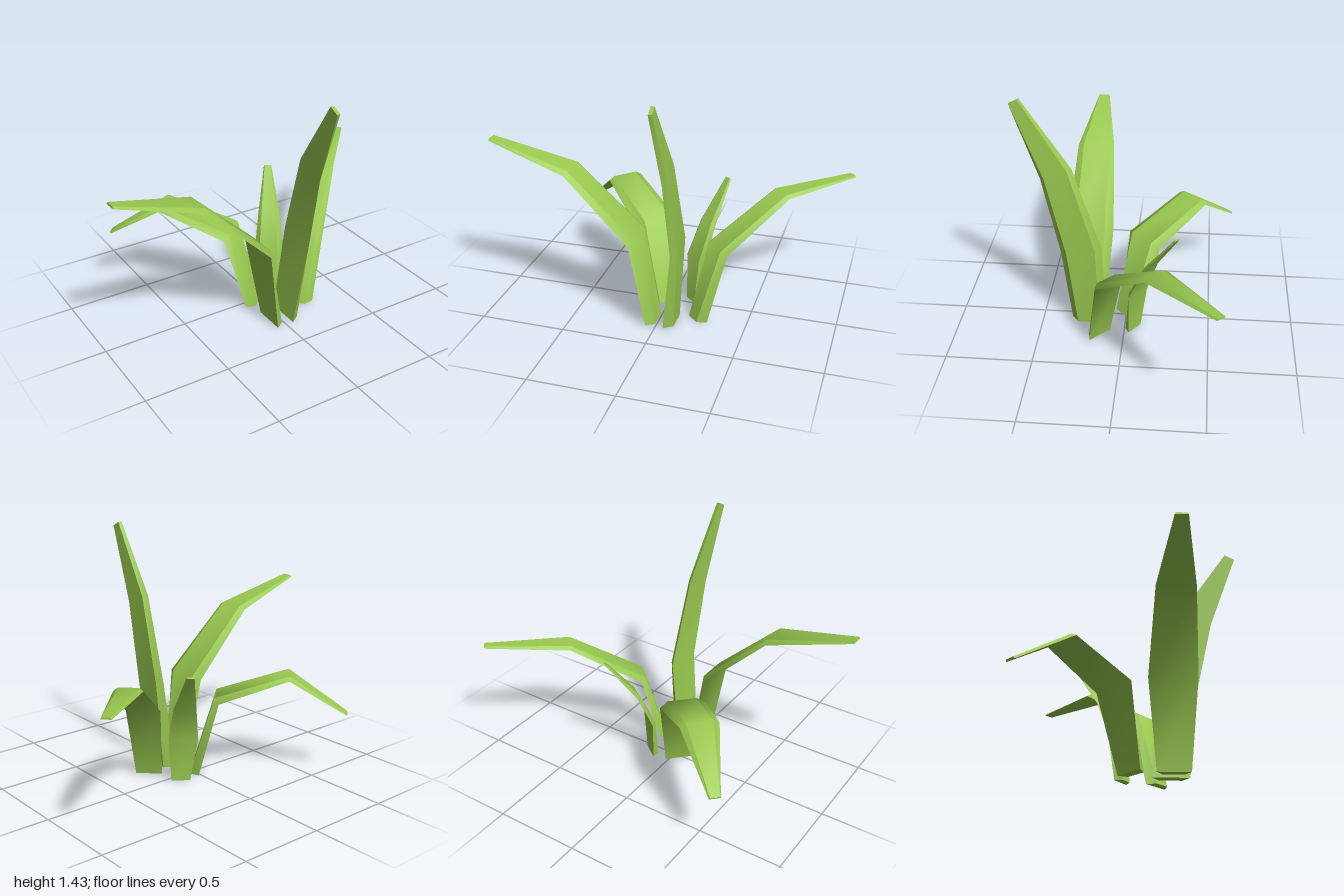
import * as THREE from 'three';
import { mergeGeometries } from 'three/addons/utils/BufferGeometryUtils.js';

// Strip of quads along two rails, smooth along its length
function strip(railA, railB) {
  const pos = [], index = [];
  railA.forEach((a, i) => {
    pos.push(...a.toArray(), ...railB[i].toArray());
    if (i) {
      const k = 2 * i - 2;
      index.push(k, k + 1, k + 3, k, k + 3, k + 2);
    }
  });
  const g = new THREE.BufferGeometry();
  g.setAttribute('position', new THREE.Float32BufferAttribute(pos, 3));
  g.setIndex(index);
  g.computeVertexNormals();
  return g;
}

// Blade with trapezoid sections: path follows the wide outer face, side is its width direction
function bladeGeometry({ path, side, widths, inner, thick }) {
  const pts = path.map(p => new THREE.Vector3(...p));
  const side0 = new THREE.Vector3(...side).normalize();
  const sections = pts.map((p, i) => {
    const t = new THREE.Vector3(0, 1, 0);
    if (i > 0) {
      t.subVectors(p, pts[i - 1]).normalize();
      if (i < pts.length - 1) t.add(pts[i + 1].clone().sub(p).normalize()).normalize();
    }
    const s = side0.clone().addScaledVector(t, -side0.dot(t)).normalize();
    const n = s.clone().cross(t);
    const top = p.clone().addScaledVector(n, thick[i]);
    const w = widths[i] / 2, v = inner[i] / 2;
    return [
      p.clone().addScaledVector(s, -w), top.clone().addScaledVector(s, -v),
      top.clone().addScaledVector(s, v), p.clone().addScaledVector(s, w),
    ];
  });
  const rails = [0, 1, 2, 3].map(k => sections.map(c => c[k]));
  const parts = rails.map((r, k) => strip(r, rails[(k + 1) % 4]));
  // End caps
  const first = sections[0], last = sections[sections.length - 1];
  parts.push(strip([last[0], last[3]], [last[1], last[2]]));
  parts.push(strip([first[1], first[2]], [first[0], first[3]]));
  return mergeGeometries(parts);
}

const BLADES = [
  { name: 'rightBlade', side: [0, 0, -1],
    path: [[-0.06, 0, 0.23], [-0.14, 0.52, 0.23], [-0.52, 0.89, 0.23], [-1, 1.02, 0.23]],
    widths: [0.19, 0.28, 0.22, 0.07], inner: [0.12, 0.18, 0.15, 0.06], thick: [0.05, 0.03, 0.02, 0.012] },
  { name: 'tallBlade', side: [0, 0, -1],
    path: [[0.045, 0, 0.22], [0.105, 0.515, 0.255], [0.09, 1.0, 0.388], [0.07, 1.42, 0.605]],
    widths: [0.21, 0.24, 0.19, 0.065], inner: [0.13, 0.17, 0.14, 0.055], thick: [0.055, 0.03, 0.024, 0.02] },
  { name: 'backRightBlade', side: [0.7, 0, -0.7],
    path: [[-0.045, 0, -0.015], [-0.125, 0.465, -0.1], [-0.41, 0.605, -0.375], [-0.655, 0.38, -0.61]],
    widths: [0.17, 0.27, 0.22, 0.065], inner: [0.12, 0.17, 0.15, 0.055], thick: [0.055, 0.035, 0.02, 0.012] },
  { name: 'leftBlade', side: [0.7, 0, 0.7],
    path: [[0.22, 0, 0.14], [0.305, 0.43, 0.075], [0.61, 0.69, -0.21], [0.98, 0.715, -0.54]],
    widths: [0.155, 0.2, 0.16, 0.055], inner: [0.085, 0.13, 0.11, 0.045], thick: [0.05, 0.03, 0.018, 0.01] },
  { name: 'smallBackBlade', side: [0.8, 0, 0.6],
    path: [[0.14, 0, -0.06], [0.135, 0.26, -0.08], [0.185, 0.47, -0.155], [0.27, 0.71, -0.305]],
    widths: [0.11, 0.17, 0.13, 0.045], inner: [0.07, 0.11, 0.09, 0.035], thick: [0.04, 0.025, 0.018, 0.01] },
];

export function createModel() {
  const model = new THREE.Group();
  model.name = 'grassTuft';
  const green = new THREE.MeshStandardMaterial({ color: 0x9aca50 });
  green.name = 'leafGreen';
  for (const blade of BLADES) {
    const mesh = new THREE.Mesh(bladeGeometry(blade), green);
    mesh.name = blade.name;
    model.add(mesh);
  }
  return model;
}
